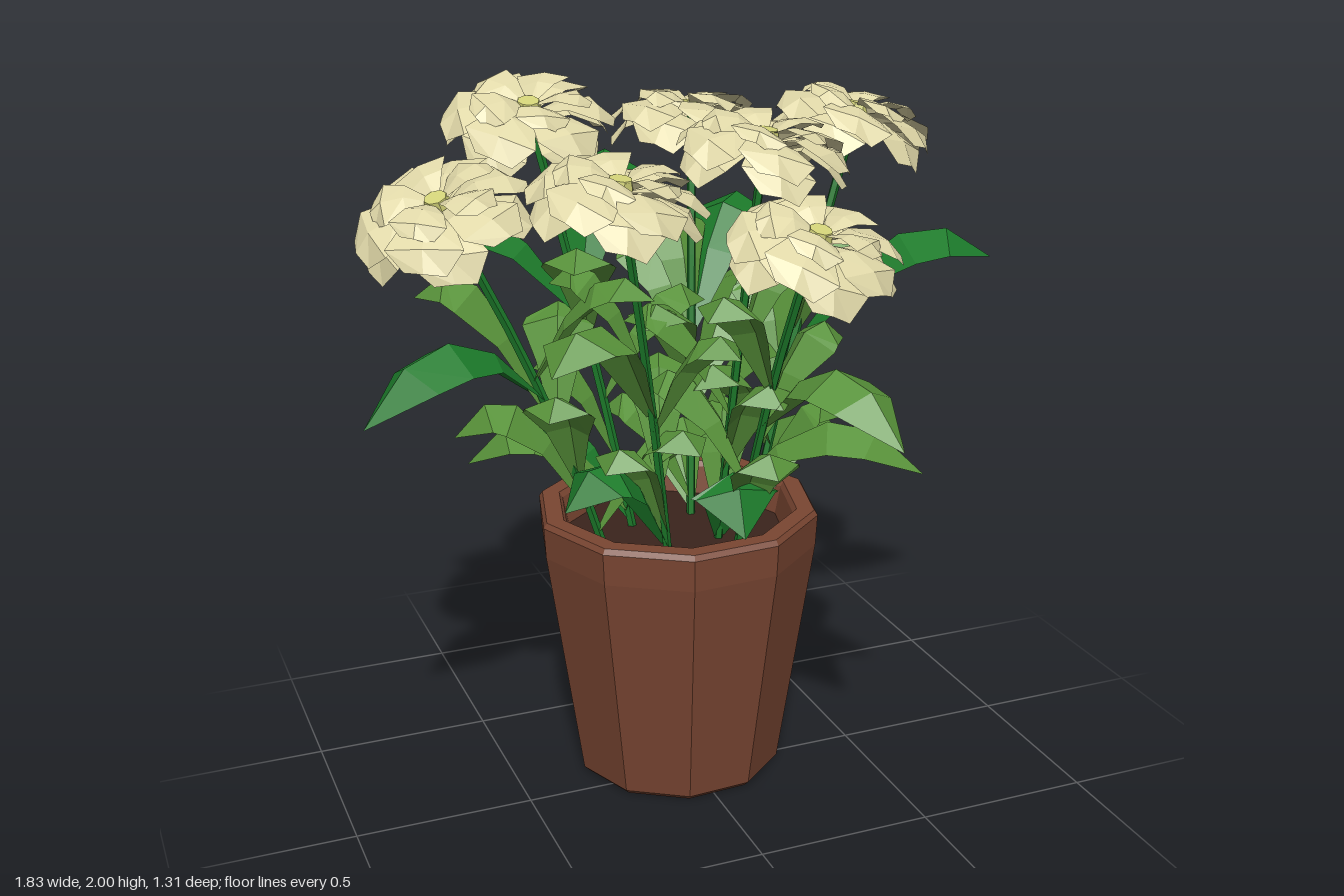
import * as THREE from 'three';

const V = (x, y, z) => new THREE.Vector3(x, y, z);
const mat = (color) => new THREE.MeshStandardMaterial({ color, flatShading: true, side: THREE.DoubleSide });
const MAT = {
  pot: mat(0x7a4632), soil: mat(0x3a241c), dark: mat(0x1c7a2a),
  light: mat(0x58923a), petal: mat(0xe0d8a8), heart: mat(0xd2d278),
};

function add(parent, name, geometry, material) {
  const m = new THREE.Mesh(geometry, material);
  m.name = name;
  parent.add(m);
  return m;
}

// Surface through rows of three points (edge, midrib, edge)
function blade(rows) {
  const pos = [], idx = [];
  rows.forEach((row, i) => {
    row.forEach((p) => pos.push(p.x, p.y, p.z));
    if (!i) return;
    for (let j = 0; j < 2; j++) {
      const a = (i - 1) * 3 + j, b = a + 3;
      idx.push(a, a + 1, b, a + 1, b + 1, b);
    }
  });
  const g = new THREE.BufferGeometry();
  g.setAttribute('position', new THREE.Float32BufferAttribute(pos, 3));
  g.setIndex(idx);
  g.computeVertexNormals();
  return g;
}

// Arching leaf with its two halves sloping down from the midrib
function leafGeometry(base, tip, arch, width) {
  const mid = base.clone().lerp(tip, 0.55);
  mid.y += arch * 2;
  const curve = new THREE.QuadraticBezierCurve3(base, mid, tip);
  const side = V(tip.z - base.z, 0, base.x - tip.x).normalize();
  return blade([0.12, 0.6, 1, 0.9, 0.02].map((w, i) => {
    const p = curve.getPoint(i / 4), half = (w * width) / 2;
    const up = curve.getTangent(i / 4).cross(side);
    if (up.y < 0) up.negate();
    const edge = (s) => p.clone().addScaledVector(side, s * half).addScaledVector(up, -half * 0.5);
    return [edge(-1), p, edge(1)];
  }));
}

// Petal cupped at the heart and drooping at the tip; one edge is lifted so neighbours overlap
function petalGeometry(length, width, lift, droop) {
  return blade([0.1, 0.45, 0.8, 1].map((t, i) => {
    const r = t * length, w = width * [0.2, 0.65, 1, 0.52][i];
    const y = lift + 0.11 * t - droop * t ** 3;
    return [V(r * 0.95, y - 0.015, -w), V(r, y + 0.008, 0), V(r * 0.95, y + 0.01, w)];
  }));
}
const RINGS = [
  { count: 5, turn: 0.3, geo: petalGeometry(0.17, 0.075, 0.005, 0.09) },
  { count: 6, turn: 0, geo: petalGeometry(0.235, 0.1, -0.015, 0.13) },
  { count: 5, turn: 0.7, geo: petalGeometry(0.225, 0.1, -0.04, 0.16) },
];

function flower(at, tiltX, tiltZ, spin) {
  const g = new THREE.Group();
  g.name = 'flower';
  RINGS.forEach(({ count, turn, geo }) => {
    for (let i = 0; i < count; i++) {
      add(g, 'petal', geo, MAT.petal).rotation.y = spin + turn + (i / count) * Math.PI * 2;
    }
  });
  add(g, 'flowerHeart', new THREE.CylinderGeometry(0.03, 0.036, 0.025, 8), MAT.heart).position.y = 0.022;
  g.position.copy(at);
  g.quaternion.setFromUnitVectors(V(0, 1, 0), V(tiltX, 1, tiltZ).normalize());
  return g;
}

// Flower centre x, y, z, then the tilt of its axis in x and z
const FLOWERS = [
  [-0.67, 1.72, -0.05, -0.36, 0.3],
  [-0.35, 1.9, -0.31, -0.06, 0.3],
  [-0.26, 1.77, 0.15, 0.08, 0.16],
  [0.14, 1.86, -0.36, 0.1, -0.1],
  [0.15, 1.86, 0.12, 0.1, 0.1],
  [0.55, 1.86, -0.16, 0.25, 0.06],
  [0.19, 1.65, 0.36, 0.1, 0.32],
];

// Outer leaves: stem number, place along the stem, then tip x, y, z
const DARK_LEAVES = [
  [0, 0.48, -0.92, 1.2, 0.07],
  [5, 0.48, 0.91, 1.46, 0],
  [1, 0.6, 0.01, 1.66, -0.66],
  [1, 0.58, -0.72, 1.54, -0.51],
  [3, 0.52, 0.43, 1.5, -0.61],
  [2, 0.04, -0.4, 0.9, 0.08],
  [4, 0.04, 0.05, 0.82, 0.25],
  [1, 0.06, -0.42, 0.95, -0.42],
];
const LIGHT_LEAVES = [
  [6, 0.42, 0.3, 1.17, 0.65],
  [4, 0.14, 0.56, 0.95, 0.29],
  [2, 0.42, -0.52, 1.38, 0.38],
  [3, 0.06, 0.1, 0.68, -0.57],
  [5, 0.06, 0.62, 0.82, -0.32],
  [3, 0.32, 0.52, 1.32, -0.55],
  [0, 0.15, -0.62, 1.05, -0.2],
  [1, 0.08, -0.54, 0.9, -0.38],
  [0, 0.42, -0.7, 1.44, -0.25],
  [3, 0.44, 0, 1.42, -0.55],
];

export function createModel() {
  const model = new THREE.Group();
  model.name = 'pottedFlowers';

  // Ten-sided pot with bevelled foot and rim, hollow down to the soil
  const profile = [[0, 0], [0.285, 0], [0.3, 0.015], [0.4, 0.7], [0.405, 0.79], [0.395, 0.805], [0.345, 0.805], [0.335, 0.79], [0.31, 0.67]];
  const pot = add(model, 'pot', new THREE.LatheGeometry(profile.map(([r, y]) => new THREE.Vector2(r, y)), 10), MAT.pot);
  pot.position.set(-0.005, 0, -0.115);
  pot.rotation.y = Math.PI / 10 + 0.06;
  const soil = add(model, 'soil', new THREE.CylinderGeometry(0.32, 0.32, 0.02, 10), MAT.soil);
  soil.position.set(-0.005, 0.7, -0.115);
  soil.rotation.y = pot.rotation.y;

  // Flowers on curved stems that fan out from the soil
  const stems = FLOWERS.map(([x, y, z, tiltX, tiltZ], i) => {
    const top = V(x, y, z);
    model.add(flower(top, tiltX, tiltZ, i * 1.9));
    const foot = V(x * 0.38 + 0.03, 0.68, z * 0.4 - 0.08);
    const bend = foot.clone().lerp(top, 0.35).setY(1.2);
    const path = new THREE.QuadraticBezierCurve3(foot, bend, top);
    add(model, 'stem', new THREE.TubeGeometry(path, 6, 0.013, 5), MAT.dark);
    return path;
  });

  // Outer leaves reaching to their tips
  const outer = (list, name, material, width) => list.forEach(([s, t, ...tip]) =>
    add(model, name, leafGeometry(stems[s].getPoint(t), V(...tip), 0.19, width), material));
  outer(DARK_LEAVES, 'darkLeaf', MAT.dark, 0.25);
  outer(LIGHT_LEAVES, 'lightLeaf', MAT.light, 0.23);

  // Inner leaves winding up each stem in four tiers
  stems.forEach((stem, i) => {
    for (let k = 0; k < 4; k++) {
      const base = stem.getPoint(0.08 + 0.15 * k), angle = i * 1.3 + k * 2.4;
      const reach = V(Math.cos(angle) * 0.28 - base.x * 0.2, 0.25, Math.sin(angle) * 0.28 - base.z * 0.2);
      add(model, 'innerLeaf', leafGeometry(base, base.clone().add(reach), 0.15, 0.2), MAT.light);
    }
  });
  return model;
}
